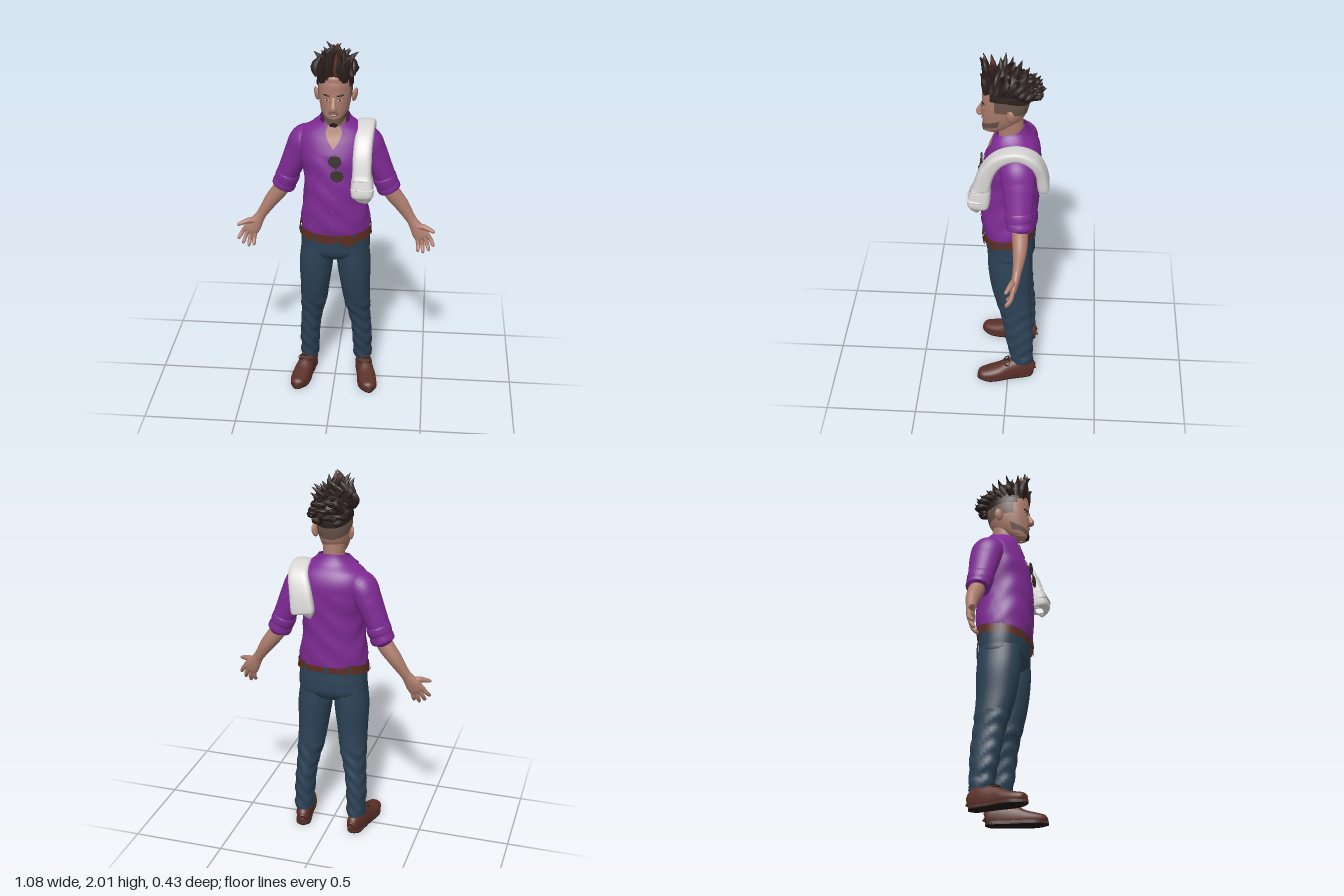
import * as THREE from 'three';
import { ParametricGeometry } from 'three/addons/geometries/ParametricGeometry.js';

const TAU = Math.PI * 2;
const mat = (name, color, side = THREE.FrontSide) => new THREE.MeshStandardMaterial({ name, color, side });
const pw = (a, e) => Math.sign(a) * Math.abs(a) ** e;
const val = (f, t) => (typeof f === 'function' ? f(t) : f);

// Upright surface from sections [y, cx, cz, rx, rz]; angle 0 is the front, e squares the outline
function body(rows, e = 1, wrinkle = () => 0) {
  const c = new THREE.CubicInterpolant(rows.map(r => r[0]), rows.flatMap(r => r.slice(1)), 4);
  return (t, y, p, off = 0) => {
    const [cx, cz, rx, rz] = c.evaluate(y), o = off + wrinkle(t, y);
    return p.set(cx + Math.max(0, rx + o) * pw(Math.sin(t), e), y, cz + Math.max(0, rz + o) * pw(Math.cos(t), e));
  };
}

// Swept surface through points [x, y, z, rRef, rSide]; ref is the direction of the first radius
function limb(points, ref = [0, 0, 1], e = 1) {
  const c = new THREE.CubicInterpolant(points.map((_, i) => i), points.flat(), 5);
  const R = new THREE.Vector3(...ref), T = new THREE.Vector3(), F = new THREE.Vector3(), S = new THREE.Vector3();
  return (t, v, p) => {
    const a = [...c.evaluate(v - 0.02)], b = [...c.evaluate(v + 0.02)], m = [...c.evaluate(v)];
    T.set(b[0] - a[0], b[1] - a[1], b[2] - a[2]).normalize();
    F.copy(R).addScaledVector(T, -R.dot(T)).normalize();
    S.crossVectors(T, F);
    return p.set(m[0], m[1], m[2])
      .addScaledVector(F, Math.max(0, m[3]) * pw(Math.cos(t), e))
      .addScaledVector(S, Math.max(0, m[4]) * pw(Math.sin(t), e));
  };
}

export function createModel() {
  const root = new THREE.Group();
  root.name = 'standingMan';
  const skin = mat('skin', 0xae7e6e), stubble = mat('stubble', 0x6b564c, THREE.DoubleSide), hair = mat('hair', 0x2b1f1d, THREE.DoubleSide);
  const shirt = mat('shirtPurple', 0x7f2b94, THREE.DoubleSide), denim = mat('denim', 0x2c4256, THREE.DoubleSide);
  const leather = mat('beltLeather', 0x5c2e21, THREE.DoubleSide), shoe = mat('shoeLeather', 0x5b3128), sole = mat('soleBlack', 0x1d1513);
  const towel = mat('towelWhite', 0xd8d6d4), glass = mat('darkGlass', 0x3d3633);

  const add = (name, m, geo) => {
    const o = new THREE.Mesh(geo, m);
    o.name = name;
    root.add(o);
    return o;
  };
  // Surface, or a patch of one, over an angle range and a height range that may depend on the angle
  const cover = (name, m, surf, [t0, t1], [v0, v1], off = 0, nu = 32, nv = 24) =>
    add(name, m, new ParametricGeometry((u, v, p) => {
      const t = t0 + (t1 - t0) * u, a = val(v0, t), b = val(v1, t);
      surf(t, a + (b - a) * v, p, off);
    }, nu, nv));
  const sweep = (name, m, pts, ref, e, nu = 20, nv = 24) =>
    cover(name, m, limb(pts, ref, e), [0, TAU], [0, pts.length - 1], 0, nu, nv);
  // Thin oval lying on a surface
  const decal = (name, m, surf, t, y, sx, sy, roll = 0) => {
    const o = add(name, m, new THREE.SphereGeometry(1, 16, 10));
    surf(t, y, o.position);
    o.rotation.set(0, t, roll);
    o.scale.set(sx, sy, 0.0045);
    return o;
  };

  // Shirt body, placket, buttons and collar
  const torso = body([
    [0.95, 0.003, 0, 0.179, 0.137], [1.0, 0.003, 0, 0.186, 0.147], [1.1, 0, 0, 0.174, 0.152], [1.2, 0, 0, 0.164, 0.155],
    [1.3, 0, -0.005, 0.168, 0.152], [1.4, 0, -0.014, 0.184, 0.147], [1.47, 0, -0.024, 0.19, 0.132],
    [1.52, 0, -0.024, 0.166, 0.11], [1.56, 0, -0.013, 0.1, 0.086], [1.59, 0, -0.01, 0.07, 0.073], [1.64, 0, -0.005, 0.06, 0.066],
  ], 0.9, (t, y) => (y < 1.42 ? 0.0022 * Math.sin(45 * y + 4 * Math.sin(2 * t)) : 0));
  cover('shirtBody', shirt, torso, [0, TAU], [t => 0.982 - 0.022 * Math.cos(t), t => 1.585 - 0.025 * Math.cos(t)], 0, 56, 56);
  cover('shirtPlacket', shirt, torso, [-0.06, 0.06], [0.965, 1.45], 0.004, 6, 40);
  for (const y of [1.03, 1.11, 1.19, 1.26]) decal('shirtButton', shirt, torso, 0, y, 0.006, 0.006).position.z += 0.004;
  cover('openNeck', skin, torso, [-0.27, 0.27], [t => 1.45 + 0.34 * Math.abs(t), 1.575], 0.004, 20, 14);
  cover('shirtCollar', shirt, torso, [0.27, TAU - 0.27],
    [t => 1.555 - 0.062 * Math.max(0, Math.cos(t)) ** 3, t => 1.593 - 0.02 * Math.cos(t)], 0.011, 48, 8);

  // Trousers seat, back pockets, belt
  const hips = body([[0.765, 0, -0.01, 0.02, 0.02], [0.785, 0, -0.008, 0.11, 0.075], [0.83, 0.002, -0.005, 0.178, 0.122],
    [0.89, 0.003, -0.003, 0.186, 0.131], [0.96, 0.003, 0, 0.182, 0.131], [1.05, 0.003, 0, 0.174, 0.131]], 0.88);
  cover('trouserSeat', denim, hips, [0, TAU], [0.765, 1.04], 0, 48, 20);
  cover('trouserFly', denim, hips, [-0.05, 0.08], [0.82, 0.93], 0.005, 6, 10);
  const beltY = t => 0.969 - 0.025 * Math.cos(t);
  cover('belt', leather, hips, [0, TAU], [t => beltY(t) - 0.025, t => beltY(t) + 0.025], 0.012, 56, 4);
  for (const t of [0.5, 1.4, 2.5, Math.PI, 3.8, 4.9, 5.8])
    cover('beltLoop', denim, hips, [t - 0.03, t + 0.03], [beltY(t) - 0.032, beltY(t) + 0.026], 0.016, 3, 3);
  const buckle = add('beltBuckle', glass, new THREE.TorusGeometry(0.022, 0.004, 6, 4, TAU));
  buckle.geometry.rotateZ(Math.PI / 4);
  buckle.position.set(0.03, 0.945, 0.144);
  cover('beltTongue', leather, hips, [0.2, 0.55], [t => beltY(t) - 0.035, t => beltY(t) + 0.008], 0.018, 10, 3);

  for (const s of [1, -1]) {
    const tag = s > 0 ? 'left' : 'right';
    const at = pts => pts.map(([x, ...r]) => [x * s, ...r]);

    // Trouser leg with gathered folds at knee and ankle
    const leg = body([
      [0.1, 0.152, -0.08, 0.05, 0.062], [0.13, 0.152, -0.078, 0.053, 0.065], [0.16, 0.15, -0.075, 0.05, 0.066],
      [0.2, 0.15, -0.07, 0.054, 0.071], [0.3, 0.145, -0.061, 0.055, 0.079], [0.42, 0.13, -0.046, 0.063, 0.085],
      [0.48, 0.122, -0.036, 0.072, 0.092], [0.6, 0.112, -0.016, 0.08, 0.105], [0.75, 0.103, -0.006, 0.092, 0.117],
      [0.88, 0.094, 0, 0.086, 0.115],
    ].map(([y, x, ...r]) => [y, x * s, ...r]), 0.95, (t, y) => (y < 0.52 ? 0.0025 * Math.sin(75 * y + 3 * Math.sin(t * 2)) : 0));
    cover(tag + 'TrouserLeg', denim, leg, [0, TAU], [0.1, 0.88], 0, 32, 50);
    cover(tag + 'BackPocket', denim, hips, [Math.PI - s * 0.5 - 0.28, Math.PI - s * 0.5 + 0.28],
      [t => 0.83 + 0.05 * Math.abs(t - Math.PI + s * 0.5), 0.925], 0.008, 12, 8);

    // Shoe, welt, sole and laces, toes turned out
    const foot = new THREE.Group();
    foot.name = tag + 'Shoe';
    const upper = limb([[0, 0.04, -0.15, 0.002, 0.002], [0, 0.042, -0.142, 0.045, 0.03], [0, 0.05, -0.08, 0.072, 0.043],
      [0, 0.04, 0, 0.067, 0.047], [0, 0.034, 0.06, 0.046, 0.052], [0, 0.03, 0.12, 0.034, 0.048],
      [0, 0.028, 0.16, 0.025, 0.034], [0, 0.026, 0.178, 0.002, 0.002]], [0, 1, 0], 0.9);
    const flat = (t, v, p) => { upper(t, v, p); p.y = Math.max(p.y, 0.014); };
    foot.add(cover('shoeUpper', shoe, flat, [0, TAU], [0, 7], 0, 28, 36));
    const print = new THREE.Shape(new THREE.SplineCurve([[0, 0.15], [0.036, 0.125], [0.043, 0.06], [0.045, 0], [0.053, -0.07],
      [0.046, -0.13], [0, -0.18], [-0.046, -0.13], [-0.053, -0.07], [-0.045, 0], [-0.043, 0.06], [-0.036, 0.125], [0, 0.15]]
      .map(q => new THREE.Vector2(...q))).getPoints(48));
    for (const [name, m, y, depth] of [['shoeWelt', shoe, 0.006, 0.012], ['shoeSole', sole, 0, 0.006]])
      foot.add(add(name, m, new THREE.ExtrudeGeometry(print, { depth, bevelEnabled: false }).rotateX(-Math.PI / 2).translate(0, y, 0)));
    for (const k of [-1, 1]) {
      const bow = add('laceBow', sole, new THREE.TorusGeometry(0.016, 0.0028, 6, 14));
      bow.position.set(k * 0.018, 0.108, 0.008);
      bow.rotation.set(-1, k * 0.4, 0);
      bow.scale.x = 1.3;
      foot.add(bow);
    }
    foot.position.x = s * 0.172;
    foot.rotation.y = s * 0.2;
    root.add(foot);

    // Sleeve and two-layer rolled cuff
    sweep(tag + 'Sleeve', shirt, at([[0.09, 1.475, -0.03, 0.06, 0.05], [0.16, 1.447, -0.045, 0.088, 0.076], [0.197, 1.38, -0.054, 0.085, 0.072],
      [0.23, 1.305, -0.057, 0.077, 0.065], [0.258, 1.24, -0.06, 0.069, 0.06], [0.28, 1.19, -0.064, 0.06, 0.056]]), [0, 0, 1], 1, 28, 30);
    sweep(tag + 'SleeveCuff', shirt, at([[0.253, 1.245, -0.06, 0.05, 0.045], [0.255, 1.24, -0.06, 0.071, 0.063], [0.268, 1.205, -0.062, 0.07, 0.064],
      [0.274, 1.19, -0.064, 0.063, 0.058], [0.276, 1.185, -0.064, 0.067, 0.064], [0.288, 1.158, -0.066, 0.063, 0.061], [0.29, 1.153, -0.066, 0.035, 0.035]]), [0, 0, 1], 1, 28, 30);

    // Forearm, palm, fingers and thumb, palm forward
    sweep(tag + 'Forearm', skin, at([[0.265, 1.21, -0.066, 0.04, 0.042], [0.3, 1.14, -0.07, 0.042, 0.044], [0.352, 1.07, -0.072, 0.037, 0.039],
      [0.395, 1.005, -0.066, 0.027, 0.03], [0.425, 0.96, -0.058, 0.021, 0.026]]));
    sweep(tag + 'Palm', skin, at([[0.405, 0.99, -0.063, 0.022, 0.026], [0.43, 0.952, -0.057, 0.022, 0.033], [0.453, 0.918, -0.05, 0.02, 0.043],
      [0.473, 0.888, -0.043, 0.015, 0.042], [0.483, 0.872, -0.04, 0.003, 0.03]]));
    [[0.45, 0.812], [0.478, 0.805], [0.508, 0.82], [0.532, 0.847]].forEach(([x, y], i) => {
      const d = i * 0.021 - 0.031, bx = 0.472 + 0.83 * d, by = 0.89 + 0.55 * d;
      sweep(tag + 'Finger', skin, at([[bx, by, -0.043, 0.012, 0.012], [(bx + x) / 2 + 0.003, (by + y) / 2, -0.034, 0.0115, 0.0115],
        [x, y + 0.008, -0.014, 0.009, 0.009], [x, y, -0.008, 0.001, 0.001]]), [0, 0, 1], 1, 10, 10);
    });
    sweep(tag + 'Thumb', skin, at([[0.44, 0.945, -0.052, 0.018, 0.018], [0.478, 0.95, -0.038, 0.016, 0.017], [0.515, 0.942, -0.02, 0.012, 0.012],
      [0.534, 0.936, -0.01, 0.008, 0.008], [0.54, 0.934, -0.008, 0.001, 0.001]]), [0, 0, 1], 1, 12, 12);
  }

  // Neck, head and facial features
  const head = body([
    [1.572, 0.003, 0.095, 0.004, 0.004], [1.578, 0.003, 0.092, 0.028, 0.032], [1.595, 0.003, 0.077, 0.046, 0.058], [1.625, 0.003, 0.05, 0.061, 0.087],
    [1.66, 0.003, 0.035, 0.073, 0.105], [1.71, 0.003, 0.025, 0.083, 0.116], [1.76, 0.003, 0.02, 0.087, 0.12],
    [1.81, 0.003, 0.02, 0.084, 0.117], [1.855, 0.003, 0.02, 0.068, 0.095], [1.88, 0.003, 0.02, 0.004, 0.004]], 0.95);
  const neck = body([[1.48, 0, -0.015, 0.058, 0.06], [1.56, 0, -0.006, 0.055, 0.065], [1.62, 0, -0.004, 0.057, 0.066], [1.69, 0, 0, 0.06, 0.068]]);
  cover('neck', skin, neck, [0, TAU], [1.48, 1.69]);
  cover('head', skin, head, [0, TAU], [1.572, 1.88], 0, 48, 48);
  sweep('nose', skin, [[0.003, 1.742, 0.132, 0.006, 0.01], [0.003, 1.715, 0.142, 0.012, 0.012], [0.003, 1.686, 0.154, 0.016, 0.017],
    [0.003, 1.674, 0.148, 0.013, 0.018], [0.003, 1.668, 0.138, 0.003, 0.006]]);
  cover('jawStubble', stubble, head, [-1.45, 1.45], [t => 1.583 + 0.04 * Math.abs(t / 1.45), t => 1.626 + 0.045 * (t / 1.45) ** 2], 0.002, 40, 8);
  cover('moustache', stubble, head, [-0.32, 0.32], [t => 1.662 - 0.1 * t * t, t => 1.667 - 0.07 * t * t], 0.003, 12, 4);
  cover('chinBeard', hair, head, [-0.4, 0.4], [1.576, t => 1.606 - 0.07 * t * t], 0.004, 14, 6);
  // Curved smile
  cover('mouth', stubble, head, [-0.3, 0.3], [t => 1.64 + 0.14 * t * t, t => 1.652 + 0.05 * t * t], 0.003, 14, 4);
  cover('teeth', towel, head, [-0.18, 0.18], [t => 1.645 + 0.12 * t * t, t => 1.65 + 0.04 * t * t], 0.005, 12, 3);
  for (const s of [1, -1]) {
    decal('eyeWhite', towel, head, s * 0.37, 1.727, 0.013, 0.0045);
    decal('iris', glass, head, s * 0.37, 1.727, 0.0055, 0.0048).position.z += 0.002;
    decal('upperLid', stubble, head, s * 0.37, 1.733, 0.016, 0.003).position.z += 0.002;
    decal('eyebrow', hair, head, s * 0.38, 1.75, 0.022, 0.0045, s * 0.08);
    const ear = add(s > 0 ? 'leftEar' : 'rightEar', skin, new THREE.SphereGeometry(1, 16, 12));
    ear.position.set(0.003 + s * 0.098, 1.71, -0.008);
    ear.rotation.set(-0.15, s * -0.4, s * -0.2);
    ear.scale.set(0.012, 0.036, 0.023);
  }

  // Shaved sides, short upper sides and the swept-up crest
  const sideEdge = t => 1.765 - 0.03 * Math.max(0, -Math.cos(t));
  cover('shavedSides', stubble, head, [1.15, TAU - 1.15], [t => sideEdge(t) - 0.045, t => sideEdge(t) + 0.025], 0.002, 40, 6);
  cover('shortSides', hair, head, [0.95, TAU - 0.95], [t => sideEdge(t) + 0.02, 1.86], 0.008, 40, 8);
  const mass = add('hairMass', hair, new THREE.SphereGeometry(1, 28, 18));
  mass.position.set(0.004, 1.856, 0.006);
  mass.scale.set(0.09, 0.072, 0.128);
  mass.rotation.x = -0.2;
  let seed = 7;
  const rnd = () => (seed = (seed * 16807) % 2147483647) / 2147483647 - 0.5;
  for (let i = 0; i < 9; i++) {
    for (let j = -2.5; j <= 2.5; j++) {
      const k = i / 8, phi = -0.1 + 1.6 * k + rnd() * 0.2, len = (0.137 - 0.065 * k) * (1 + rnd() * 0.3) * (1 - 0.025 * j * j);
      const z = 0.115 - 0.22 * k, x = j * 0.034 * Math.sqrt(1 - (z / 0.15) ** 2) + rnd() * 0.012;
      const y = 1.838 + 0.035 * Math.sqrt(1 - ((z - 0.005) / 0.13) ** 2) - 0.004 * j * j - 0.035 * k * k;
      const q = (f, bend, w, d) => [x * (1 - 0.08 * f) + 0.004 + bend * rnd(), y + Math.cos(phi - bend) * len * f, z - Math.sin(phi - bend) * len * f, w, d];
      sweep('hairTuft', i < 2 && j === 0.5 ? leather : hair,
        [q(-0.15, 0, 0.018, 0.016), q(0.3, -0.04, 0.024, 0.02), q(0.7, 0, 0.015, 0.013), q(1, 0.08, 0.0008, 0.0008)], [1, 0, 0], 1, 8, 9);
    }
  }

  // Folded towel over the left shoulder with thick hems
  sweep('shoulderTowel', towel, [[0.155, 1.205, 0.156, 0.03, 0.02], [0.155, 1.217, 0.155, 0.057, 0.056], [0.151, 1.295, 0.142, 0.056, 0.054],
    [0.15, 1.315, 0.138, 0.05, 0.046], [0.15, 1.42, 0.106, 0.049, 0.04], [0.155, 1.5, 0.045, 0.048, 0.033], [0.16, 1.533, -0.045, 0.048, 0.028],
    [0.155, 1.5, -0.123, 0.053, 0.029], [0.132, 1.42, -0.165, 0.058, 0.029], [0.115, 1.32, -0.181, 0.061, 0.031], [0.113, 1.305, -0.184, 0.04, 0.012]],
    [1, 0, 0], 0.55, 32, 60);
  sweep('towelFold', towel, [[0.155, 1.25, 0.165, 0.05, 0.02], [0.155, 1.258, 0.164, 0.061, 0.05], [0.155, 1.268, 0.163, 0.05, 0.02]], [1, 0, 0], 0.5);

  // Sunglasses hanging from the open neck
  for (const [x, y, z] of [[0.01, 1.397, 0.147], [0.022, 1.322, 0.16]]) {
    const lens = add('sunglassLens', glass, new THREE.CylinderGeometry(0.03, 0.03, 0.008, 24));
    const rim = add('sunglassRim', glass, new THREE.TorusGeometry(0.03, 0.004, 8, 28));
    lens.rotation.x = Math.PI / 2;
    for (const o of [lens, rim]) o.position.set(x, y, z);
  }
  const bridge = add('sunglassBridge', glass, new THREE.CylinderGeometry(0.004, 0.004, 0.03, 8));
  bridge.position.set(0.016, 1.36, 0.154);
  return root;
}
